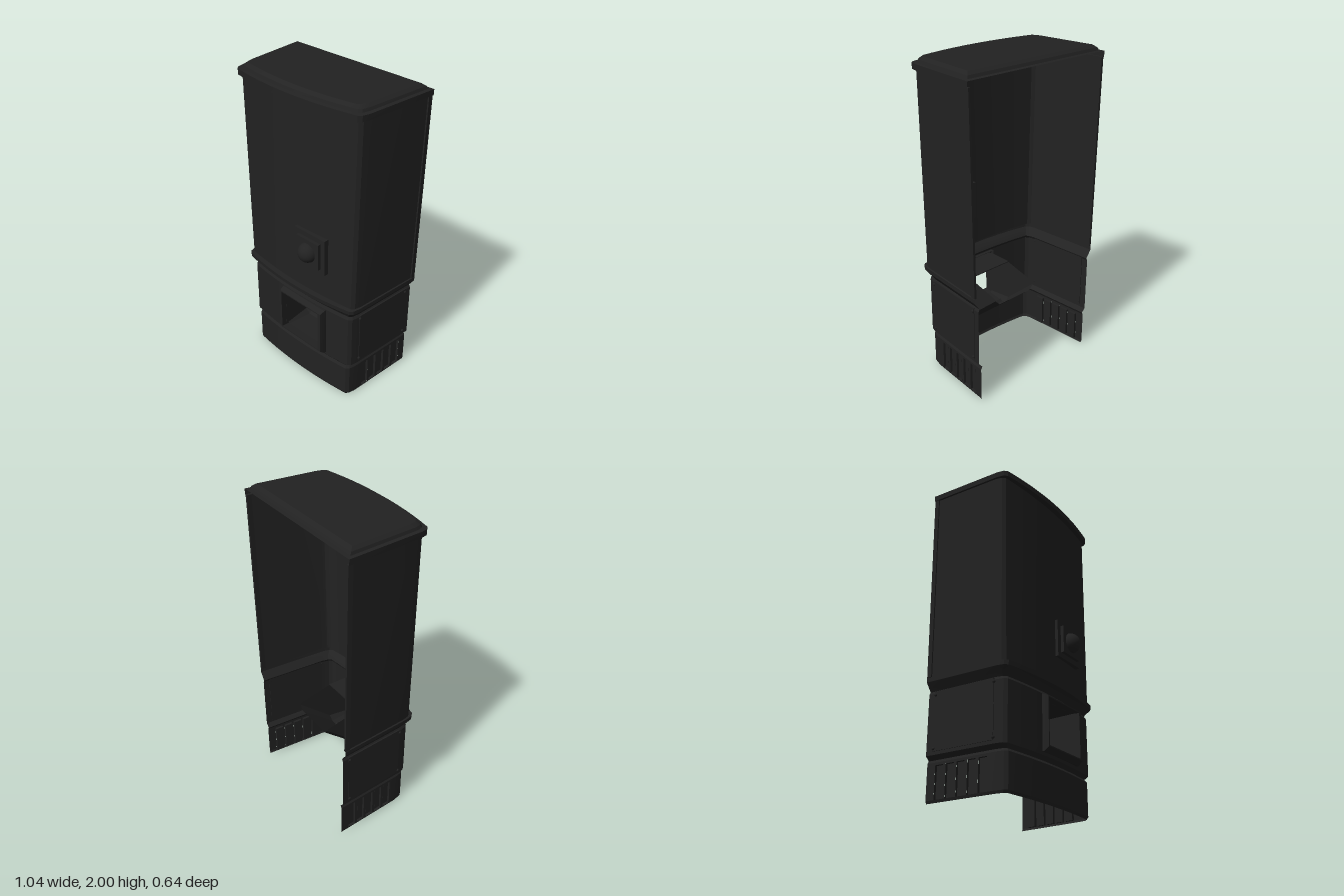
import * as THREE from 'three';
import { toCreasedNormals } from 'three/addons/utils/BufferGeometryUtils.js';

const BACK = -0.32;
const TAPER = 0.067;
const material = new THREE.MeshStandardMaterial({ color: 0x222222, side: THREE.DoubleSide });

function addMesh(parent, geometry, name, x = 0, y = 0, z = 0) {
  const mesh = new THREE.Mesh(geometry, material);
  mesh.name = name;
  mesh.position.set(x, y, z);
  parent.add(mesh);
  return mesh;
}

// Half width at depth z on a side wall that tapers until depth end
const sideX = (w, end, z) => w * (1 - TAPER * (z - BACK) / (end - BACK));

// Normalised x stations along the bowed front, two of them on the opening's edges
const FRONT_X = [0.875, 0.75, 0.6, 0.473, 0.3, 0.12, 0, -0.12, -0.226, -0.45, -0.6, -0.75, -0.875];

// Depths of the vent slots, and the side wall stations at their edges
const VENT_Z = [-0.239, -0.168, -0.097, -0.026, 0.045];
const VENT_EDGES = VENT_Z.flatMap(z => [z - 0.027, z + 0.027]);

// Open horizontal section from height, half width, front depth and bow of the front:
// left back edge, round the front, right back edge
function section([y, w, f, bow, back = BACK], stops = []) {
  const corner = f - bow;
  const side = [[w, back], ...stops.map(z => [sideX(w, corner - 0.06, z), z]),
    [w * (1 - TAPER), corner - 0.06], [w * 0.912, corner - 0.018]];
  const front = FRONT_X.map(u => [u * w, f - bow * (u / 0.875) ** 2]);
  const right = side.map(([x, z]) => [-x, z]).reverse();
  return [...side, ...front, ...right].map(([x, z]) => new THREE.Vector3(x, y, z));
}

// Skin a series of equal-length sections; skip(centre) leaves a cell open
function loft(sections, skip = () => false) {
  const n = sections[0].length, index = [];
  for (let r = 0; r < sections.length - 1; r++) {
    for (let i = 0; i < n - 1; i++) {
      const centre = sections[r][i].clone().add(sections[r + 1][i + 1]).multiplyScalar(0.5);
      if (skip(centre)) continue;
      const a = r * n + i, b = a + 1, d = a + n, c = d + 1;
      index.push(a, d, b, b, d, c);
    }
  }
  const geometry = new THREE.BufferGeometry().setFromPoints(sections.flat());
  geometry.setIndex(index);
  return toCreasedNormals(geometry, 0.4);
}

// Closed upright rectangle at depth z
function ring(x0, y0, x1, y1, z) {
  return [[x0, y0], [x1, y0], [x1, y1], [x0, y1], [x0, y0]].map(([x, y]) => new THREE.Vector3(x, y, z));
}

// Open-topped channel section at depth z, with bevelled lower corners
function trough(low, high, cut, z, x0 = -0.106, x1 = 0.216) {
  return [[x0, high], [x0, low + cut], [x0 + cut, low], [x1 - cut, low], [x1, low + cut], [x1, high]]
    .map(([x, y]) => new THREE.Vector3(x, y, z));
}

export function createModel() {
  const model = new THREE.Group();
  model.name = 'dispenserHousing';

  // Base, middle and upper body
  const base = [[0, 0.443, 0.208, 0.025], [0.015, 0.45, 0.215, 0.025], [0.205, 0.45, 0.215, 0.025],
    [0.22, 0.45, 0.215, 0.025], [0.237, 0.44, 0.203, 0.025]];
  const middle = [[0.237, 0.44, 0.203, 0.025], [0.26, 0.465, 0.222, 0.03], [0.3, 0.465, 0.222, 0.03],
    [0.6, 0.465, 0.222, 0.03], [0.62, 0.465, 0.222, 0.03], [0.638, 0.456, 0.212, 0.03]];
  const ledge = [[0.638, 0.456, 0.212, 0.03], [0.66, 0.472, 0.225, 0.035], [0.688, 0.492, 0.258, 0.045],
    [0.715, 0.493, 0.26, 0.045], [0.718, 0.486, 0.226, 0.033]];
  const upper = [[0.718, 0.486, 0.226, 0.033], [1.93, 0.505, 0.226, 0.036]];
  const rim = [[1.93, 0.505, 0.226, 0.036], [1.93, 0.517, 0.26, 0.047], [1.965, 0.518, 0.26, 0.047]];
  const inVent = p => Math.abs(p.x) > 0.4 && p.y > 0.02 && p.y < 0.2
    && VENT_Z.some(z => Math.abs(p.z - z) < 0.01);
  const inOpening = p => p.z > 0.1 && p.x > -0.105 && p.x < 0.22 && p.y > 0.3 && p.y < 0.6;
  addMesh(model, loft(base.map(row => section(row, VENT_EDGES)), inVent), 'baseShell');
  addMesh(model, loft(middle.map(row => section(row)), inOpening), 'middleShell');
  addMesh(model, loft(ledge.map(row => section(row))), 'ledge');
  addMesh(model, loft(upper.map(row => section(row))), 'upperShell');
  addMesh(model, loft(rim.map(row => section(row))), 'lidRim');

  // Lid: a flat shoulder and a rounded, raised top
  const closed = row => { const s = section(row); return [...s, s[0].clone()]; };
  const top = [2, 0.468, 0.21, 0.04, -0.268];
  addMesh(model, loft([[1.965, 0.518, 0.26, 0.047], [1.968, 0.496, 0.237, 0.045, -0.298],
    [1.984, 0.489, 0.23, 0.043, -0.29], top].map(closed)), 'lidCrown');
  const lidShape = new THREE.Shape(section(top).map(p => new THREE.Vector2(p.x, -p.z)));
  addMesh(model, new THREE.ShapeGeometry(lidShape), 'lidTop', 0, 2, 0).rotation.x = -Math.PI / 2;

  // Raised surround of the dispensing opening
  addMesh(model, loft([
    ring(-0.12, 0.28, 0.243, 0.617, 0.2),
    ring(-0.12, 0.28, 0.243, 0.617, 0.228),
    ring(-0.114, 0.305, 0.237, 0.602, 0.258),
    ring(-0.106, 0.312, 0.216, 0.594, 0.258),
    ring(-0.106, 0.305, 0.216, 0.598, 0.2),
  ]), 'openingSurround');

  // Chute: a short tunnel, then a steep floor rising to the back between sloping cheeks
  addMesh(model, loft([
    trough(0.305, 0.598, 0.01, 0.205),
    trough(0.305, 0.598, 0.03, 0.04),
    trough(0.5, 0.545, 0.035, -0.19),
  ]), 'chute');
  addMesh(model, new THREE.BoxGeometry(0.322, 0.006, 0.165), 'chuteRoof', 0.055, 0.6, 0.1225);

  // Small catch at the foot of the chute
  const catchGroup = new THREE.Group();
  catchGroup.name = 'chuteCatch';
  catchGroup.position.set(0.04, 0.34, 0.035);
  catchGroup.rotation.x = -0.86;
  addMesh(catchGroup, new THREE.BoxGeometry(0.12, 0.02, 0.02), 'catchBar', 0, 0.02, 0);
  addMesh(catchGroup, new THREE.BoxGeometry(0.04, 0.05, 0.02), 'catchStem', 0, -0.005, 0);
  model.add(catchGroup);

  // Push button: stepped square plates and a dome
  const button = new THREE.Group();
  button.name = 'pushButton';
  button.position.set(0.14, 1.02, 0);
  model.add(button);
  addMesh(button, new THREE.BoxGeometry(0.24, 0.24, 0.039), 'buttonPlate', 0, 0, 0.2255);
  addMesh(button, new THREE.BoxGeometry(0.175, 0.175, 0.03), 'buttonStep', 0, 0, 0.25);
  const dome = new THREE.SphereGeometry(0.063, 32, 12, 0, Math.PI * 2, 0, Math.PI / 2);
  addMesh(button, dome.rotateX(Math.PI / 2), 'buttonDome', 0, 0, 0.257);

  for (const s of [1, -1]) {
    const side = s > 0 ? 'left' : 'right';
    const lean = -s * Math.atan(TAPER);

    // Vent slots: shallow pockets, open outwards, behind the gaps in the base wall
    for (const z of VENT_Z) {
      const pocket = new THREE.BoxGeometry(0.016, 0.19, 0.054);
      pocket.setIndex([...pocket.index.array].slice(6));
      const vent = addMesh(model, pocket, side + 'Vent', s * (sideX(0.45, 0.13, z) - 0.008), 0.11, z);
      vent.rotation.y = lean + (s > 0 ? 0 : Math.PI);
    }

    // Riveted service panel on the middle section
    const panel = addMesh(model, new THREE.BoxGeometry(0.008, 0.35, 0.4), side + 'ServicePanel',
      s * sideX(0.465, 0.132, -0.08), 0.455, -0.08);
    panel.rotation.y = lean;
    for (const z of [0.12, -0.27]) for (const y of [0.295, 0.61]) {
      const rivet = new THREE.SphereGeometry(0.009, 12, 8);
      addMesh(model, rivet, side + 'Rivet', s * (sideX(0.465, 0.132, z) + 0.003), y, z);
    }

    // Trim strip along the back edge of the upper body
    const strip = addMesh(model, new THREE.BoxGeometry(0.014, 1.212, 0.03), side + 'BackTrim',
      s * 0.4945, 1.324, -0.305);
    strip.rotation.z = -s * Math.atan(0.019 / 1.212);
  }
  return model;
}
